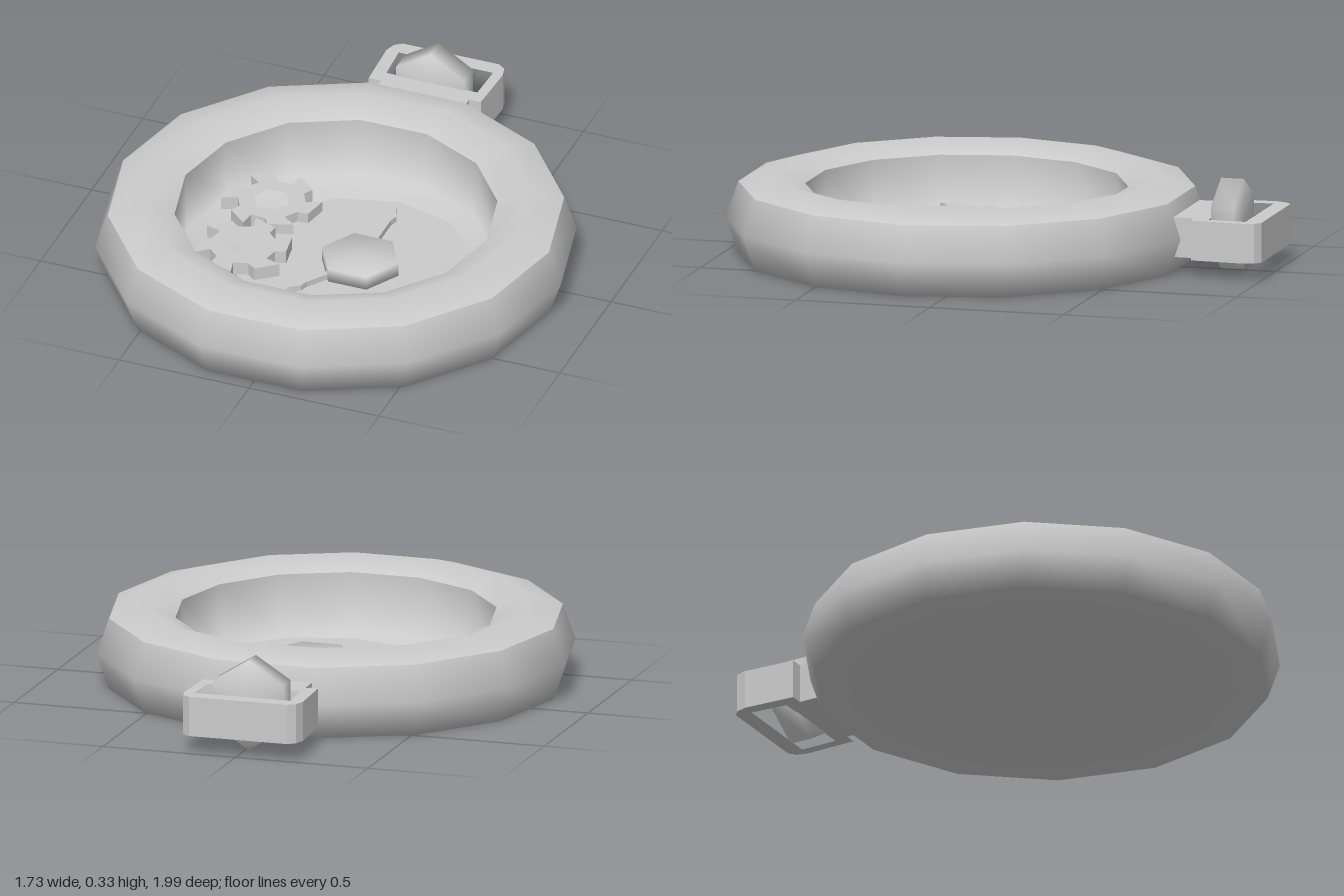
import * as THREE from 'three';
import { mergeVertices } from 'three/addons/utils/BufferGeometryUtils.js';

export function createModel() {
  const group = new THREE.Group();
  const material = new THREE.MeshStandardMaterial({ color: 0xcccccc });

  const add = (name, geometry, x = 0, y = 0, z = 0) => {
    const mesh = new THREE.Mesh(geometry, material);
    mesh.name = name;
    mesh.position.set(x, y, z);
    group.add(mesh);
    return mesh;
  };
  const vectors = (pairs) => pairs.map(([x, y]) => new THREE.Vector2(x, y));
  // Plates are outlined as [x, z] and extruded upward
  const plan = (pairs) => vectors(pairs.map(([x, z]) => [x, -z]));
  const plate = (outline, height, hole) => {
    const shape = new THREE.Shape(plan(outline));
    if (hole) shape.holes.push(new THREE.Path(plan(hole)));
    return new THREE.ExtrudeGeometry(shape, { depth: height, bevelEnabled: false })
      .rotateX(-Math.PI / 2);
  };
  const polar = (r, a) => [r * Math.cos(a), r * Math.sin(a)];

  // Six-sided disc shaded smoothly over its edges
  const softHexagon = (radius, height) => {
    const geometry = new THREE.CylinderGeometry(radius, radius, height, 6);
    geometry.deleteAttribute('normal');
    geometry.deleteAttribute('uv');
    const merged = mergeVertices(geometry);
    merged.computeVertexNormals();
    return merged;
  };

  // Fourteen-sided case: smooth shell, ridged rim and inner bowl meet at sharp edges
  const caseParts = {
    caseShell: [[0, 0], [0.82, 0], [0.865, 0.13], [0.82, 0.26]],
    caseRim: [[0.82, 0.26], [0.69, 0.3], [0.58, 0.255]],
    caseBowl: [[0.58, 0.255], [0.575, 0.03], [0, 0.03]],
  };
  for (const [name, profile] of Object.entries(caseParts)) {
    add(name, new THREE.LatheGeometry(vectors(profile), 14, Math.PI / 2), 0, 0, 0.15);
  }

  // Dial plate, slightly off centre in the bowl
  add('dial', new THREE.CylinderGeometry(0.435, 0.435, 0.02, 12), 0.08, 0.032, 0.165);

  // Six-sided hub
  add('hub', softHexagon(0.147, 0.055).rotateY(Math.PI / 2), 0.105, 0.067, 0.18);

  // Hands with a widened pointed tip, each turned about the hub
  const hand = (name, length, angle) => {
    const w = 0.009;
    const mesh = add(name, plate([
      [-w, 0], [w, 0], [w, -length + 0.08], [2 * w, -length + 0.05],
      [0, -length], [-2 * w, -length + 0.05], [-w, -length + 0.08],
    ], 0.022), 0.1, 0.046, 0.18);
    mesh.rotation.y = angle;
  };
  hand('longHand', 0.37, 0);
  hand('shortHand', 0.31, Math.PI - 0.61);

  // Gears with sharp flared teeth and hexagonal holes
  const gear = (name, x, y, z, turn) => {
    const outline = [];
    const hole = [];
    for (let i = 0; i < 6; i++) {
      const a = turn + i * Math.PI / 3;
      outline.push(polar(0.122, a), polar(0.122, a + 0.45), polar(0.182, a + 0.4), polar(0.16, a + 0.95));
      hole.push(polar(0.068, i * Math.PI / 3));
    }
    add(name, plate(outline, 0.05, hole), x, y, z);
  };
  gear('rearGear', -0.33, 0.032, -0.06, 0.35);
  gear('frontGear', -0.31, 0.045, 0.27, 0);

  // Hanging loop with a neck that meets the case
  add('hangingLoop', plate([
    [-0.18, -0.64], [-0.18, -0.745], [-0.227, -0.745], [-0.235, -0.94], [-0.222, -0.98], [-0.195, -1],
    [0.175, -1], [0.203, -0.98], [0.213, -0.94], [0.205, -0.745], [0.16, -0.745], [0.16, -0.64],
  ], 0.145, [[-0.18, -0.8], [-0.188, -0.94], [0.175, -0.94], [0.17, -0.8]]), 0, 0.065, 0);

  // Six-sided winding crown, its axis running front to back
  add('windingCrown', softHexagon(0.165, 0.085).rotateX(Math.PI / 2).scale(0.92, 1, 1), -0.01, 0.165, -0.838);

  return group;
}
